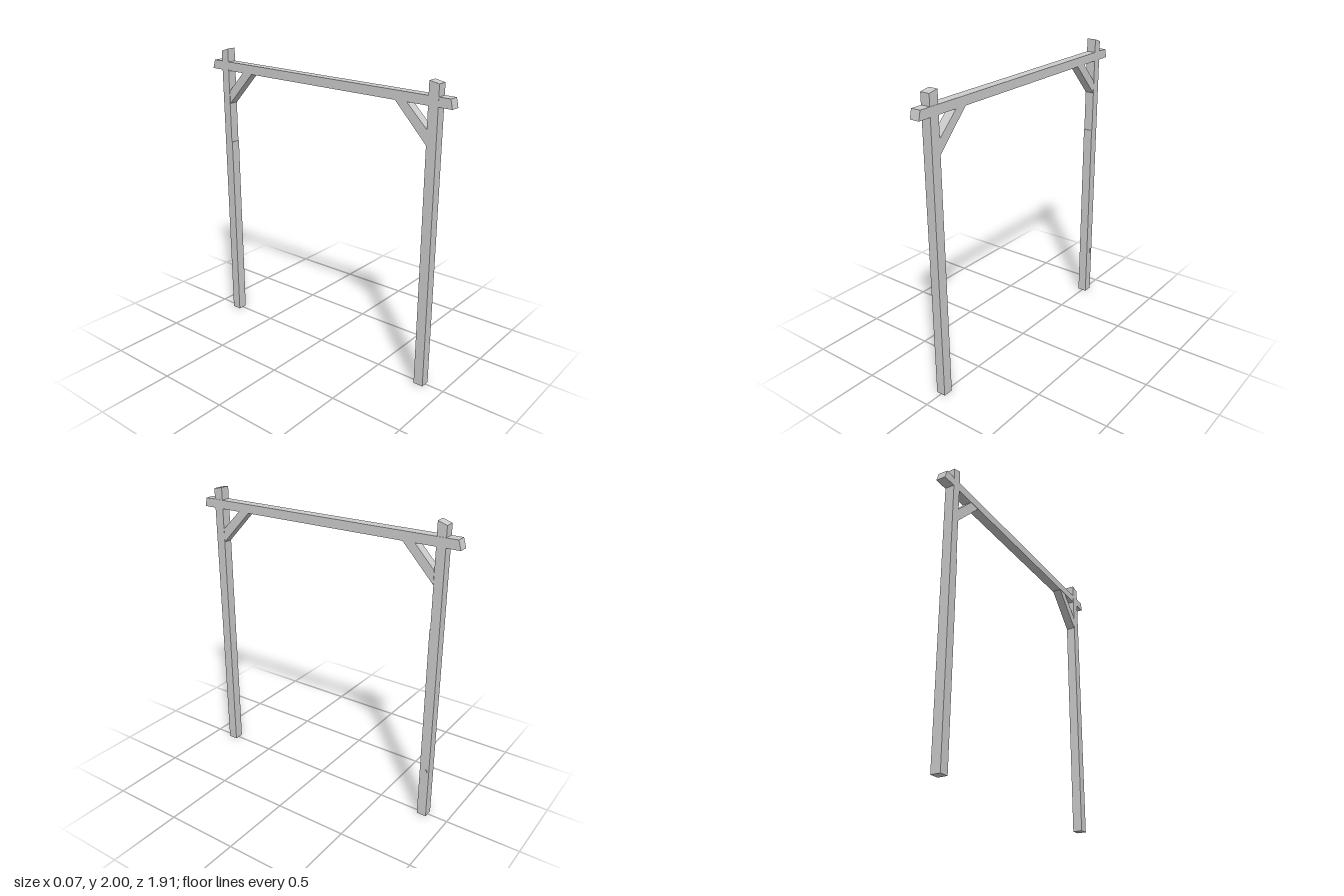
import * as THREE from 'three';

const material = new THREE.MeshStandardMaterial({ color: 0xcccccc, flatShading: true });

// A timber cut to a side outline of [z, y] corners, running from x0 to x1.
function timber(name, corners, x0, x1) {
  const shape = new THREE.Shape(corners.map(([z, y]) => new THREE.Vector2(-z, y)));
  const geometry = new THREE.ExtrudeGeometry(shape, { depth: x1 - x0, bevelEnabled: false });
  geometry.rotateY(Math.PI / 2).translate(x0, 0, 0);
  const mesh = new THREE.Mesh(geometry, material);
  mesh.name = name;
  return mesh;
}

export function createModel() {
  const frame = new THREE.Group();
  frame.name = 'timberFrame';

  // Upright posts with slanted tops
  frame.add(timber('frontPost', [[0.868, 0], [0.802, 0], [0.802, 1.97], [0.868, 1.957]], -0.035, 0.03));
  frame.add(timber('backPost', [[-0.795, 0], [-0.86, 0], [-0.86, 1.98], [-0.8, 2], [-0.8, 1.34], [-0.795, 1.34]], -0.035, 0.03));

  // Slightly sloping crossbeam with raked ends
  frame.add(timber('crossbeam', [[0.957, 1.824], [-0.953, 1.852], [-0.935, 1.912], [0.944, 1.883]], -0.034, 0.032));

  // Diagonal corner braces
  frame.add(timber('frontBrace', [[0.805, 1.59], [0.575, 1.832], [0.655, 1.832], [0.805, 1.684]], -0.033, 0.029));
  frame.add(timber('backBrace', [[-0.798, 1.62], [-0.798, 1.708], [-0.662, 1.85], [-0.58, 1.85]], -0.033, 0.029));

  // Small worn knot low on the back post
  const knot = new THREE.Mesh(new THREE.BoxGeometry(0.006, 0.03, 0.012), material);
  knot.name = 'postKnot';
  knot.position.set(0.031, 0.345, -0.84);
  frame.add(knot);

  return frame;
}
